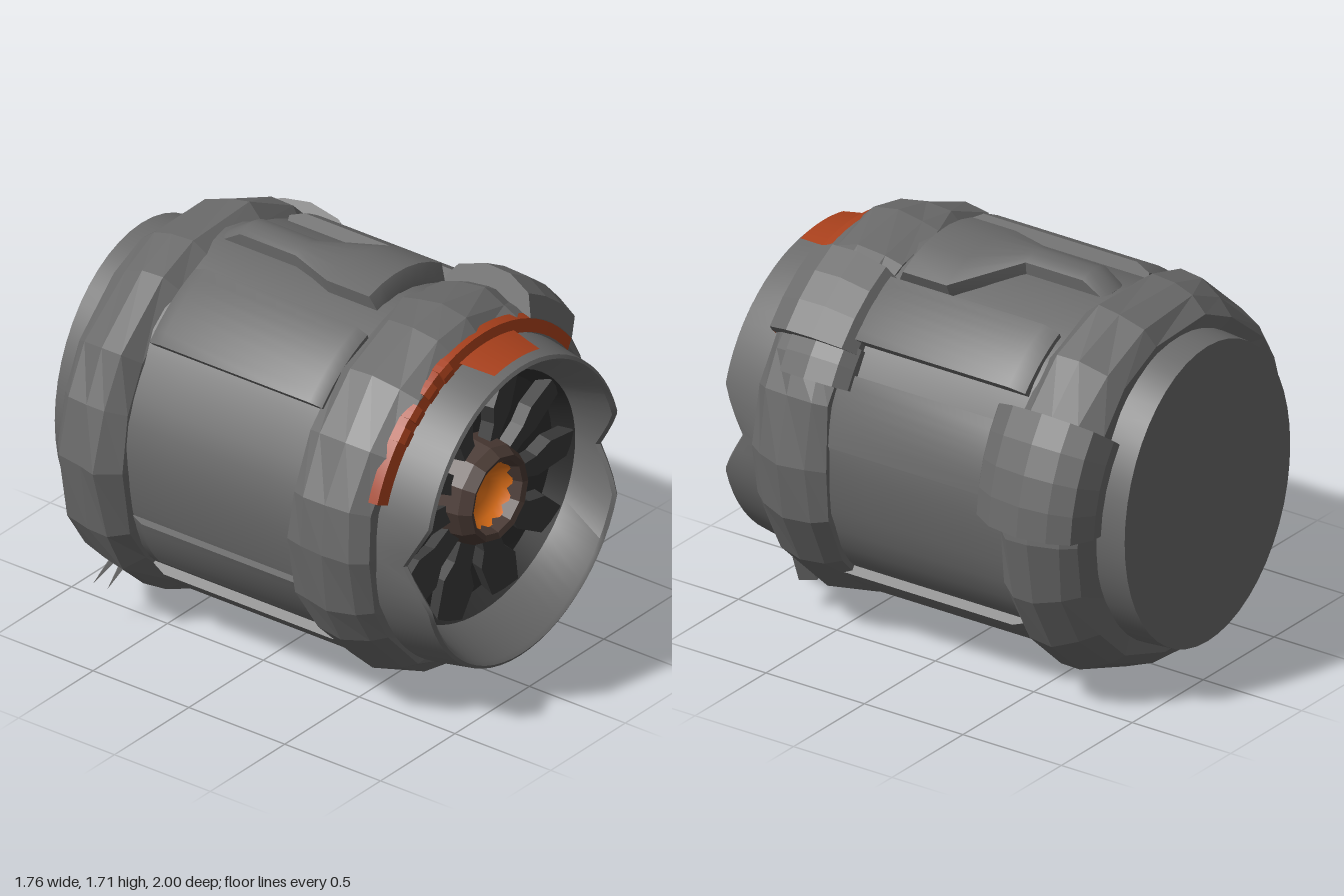
import * as THREE from 'three';
import { toCreasedNormals } from 'three/addons/utils/BufferGeometryUtils.js';

const CX = -0.03, CY = 0.87, RAD = Math.PI / 180;
const mat = (color, flat = false, side = THREE.FrontSide) =>
  new THREE.MeshStandardMaterial({ color, flatShading: flat, side });
const STEEL = 0x6a6a6a, DARK = 0x3a3a3a, GLOW = 0xa8401c, CORE = 0xe07018;

// Point at angle a (degrees) and radius r around the engine axis
const polar = (a, r, z, sx = 1, sy = 1) =>
  [CX + Math.cos(a * RAD) * r * sx, CY + Math.sin(a * RAD) * r * sy, z];

// Repeatable unevenness in -1..1
const wobble = (i, j, seed) => {
  const s = Math.sin(i * 12.99 + j * 78.23 + seed * 37.7) * 43758.5;
  return (s - Math.floor(s)) * 2 - 1;
};

// Evenly spaced angles from a to b
const span = (a, b, n) => Array.from({ length: n + 1 }, (_, i) => a + ((b - a) * i) / n);

// Skin through rows of [z, r] around the given angles; back to front faces outwards
function loft(rows, angles, place = (a, r, z) => polar(a, r, z)) {
  const pos = [], index = [], n = angles.length;
  rows.forEach(([z, r], i) => angles.forEach((a, j) => pos.push(...place(a, r, z, i, j))));
  for (let i = 0; i < rows.length - 1; i++)
    for (let j = 0; j < n - 1; j++) {
      const a = i * n + j, d = a + n;
      index.push(a, a + 1, d + 1, a, d + 1, d);
    }
  const g = new THREE.BufferGeometry();
  g.setAttribute('position', new THREE.Float32BufferAttribute(pos, 3));
  g.setIndex(index);
  return toCreasedNormals(g, 0.6);
}

// Raised plate over part of the circumference, closed down to radius `inner`
function plate(rows, from, to, n, inner, place = (a, r, z) => polar(a, r, z)) {
  const angles = [from, ...span(from, to, n), to];
  const all = [[rows[0][0], inner], ...rows, [rows[rows.length - 1][0], inner]];
  return loft(all, angles, (a, r, z, i, j) =>
    place(a, j === 0 || j === angles.length - 1 ? inner : r, z, i, j));
}

export function createModel() {
  const model = new THREE.Group();
  const add = (name, geometry, material, parent = model) => {
    const m = new THREE.Mesh(geometry, material);
    m.name = name;
    parent.add(m);
    return m;
  };
  const steel = mat(STEEL), facet = mat(STEEL, true), dark = mat(DARK, true, THREE.DoubleSide);
  const full = span(0, 360, 48);

  // Main barrel
  add('barrel', loft([[-0.6, 0.76], [-0.3, 0.76], [0.2, 0.76], [0.5, 0.76]], full,
    (a, r, z) => polar(a, r + 0.006 * Math.sin(a * RAD * 9), z, 0.98, 1.03)), steel);

  // Raised barrel panels: [from, to, radius, back z, front z]
  [[42, 64, 0.825, -0.5, 0.42], [111, 138, 0.825, -0.5, 0.4], [8, 32, 0.77, -0.45, 0.42],
    [-74, -43, 0.8, -0.5, 0.5], [-137, -106, 0.8, -0.5, 0.5], [198, 217, 0.775, -0.5, 0.42],
  ].forEach(([a, b, r, z0, z1]) => add('barrelPanel',
    plate([[z0, r - 0.03], [z0 + 0.07, r], [z1 - 0.05, r], [z1, r - 0.03]], a, b, 7, 0.72), steel));

  // Top rib, widening towards the front
  add('topRib', plate([[-0.54, 0.79], [-0.43, 0.86], [-0.14, 0.86], [0.08, 0.86], [0.3, 0.86], [0.34, 0.79]],
    0, 1, 6, 0.74, (t, r, z) => {
      const w = THREE.MathUtils.smoothstep(z, -0.14, 0.08);
      const edge = 0.02 * Math.pow(2 * t - 1, 2);
      return polar(THREE.MathUtils.lerp(84 - 18 * w, 95 + 5 * w, t), r - edge, z);
    }), steel);

  // Faceted collars
  const collar = (name, rows, sides, seed, dy) => add(name,
    loft(rows, span(0, 360, sides), (a, r, z, i, j) => {
      const k = j % sides;
      const p = polar(a + 4 * wobble(1, k, seed) * (k ? 1 : 0), r + 0.014 * wobble(i, k, seed),
        z + 0.015 * wobble(i, k, seed + 5));
      p[1] += dy;
      return p;
    }), facet);
  collar('frontCollar', [[0.4, 0.7], [0.38, 0.79], [0.46, 0.82], [0.58, 0.833], [0.7, 0.8],
    [0.77, 0.745], [0.76, 0.66]], 20, 1, 0);
  collar('rearCollar', [[-0.85, 0.55], [-0.87, 0.73], [-0.8, 0.8], [-0.69, 0.84], [-0.58, 0.84],
    [-0.5, 0.78], [-0.48, 0.7]], 18, 2, -0.015);

  // Clamps over the collars
  add('frontClamp', plate([[0.33, 0.8], [0.37, 0.86], [0.5, 0.905], [0.63, 0.9], [0.74, 0.85], [0.78, 0.76]],
    38, 65, 3, 0.68), facet);
  add('frontClampFoot', plate([[0.32, 0.79], [0.37, 0.84], [0.5, 0.86], [0.64, 0.83]], 27, 40, 2, 0.7), facet);
  add('rearClamp', plate([[-0.94, 0.72], [-0.9, 0.83], [-0.81, 0.88], [-0.68, 0.905], [-0.52, 0.88],
    [-0.41, 0.81], [-0.37, 0.75]], 3, 37, 4, 0.67), facet);

  // Closed oval tail
  add('tail', loft([[-1, 0], [-1, 0.675], [-0.8, 0.69]], full,
    (a, r, z) => { const p = polar(a, r, z, 0.865, 1); p[1] -= 0.015; return p; }), steel);

  // Intake shell: outer wall, rim and tapering inner wall, rim dipping at both sides
  const rimZ = (a) => {
    const s = Math.abs(Math.sin(a * RAD));
    return -0.11 * (1 - Math.min(1, s / 0.28)) - 0.015 * s * s;
  };
  const throat = (a, r, z) => {
    const p = polar(a, r, z, 1.07, 0.93);
    p[1] -= 0.02;
    return p;
  };
  const around = span(0, 360, 64);
  add('intakeShell', loft([[0.7, 0.71], [0.8, 0.7], [0.99, 0.67], [1, 0.655], [0.985, 0.64], [0.78, 0.58]],
    around, (a, r, z, i) => {
      if (i === 5) return throat(a, r, z);
      const p = polar(a, r, z + (i > 1 ? rimZ(a) : 0), 0.99, 1.02);
      p[1] -= 0.02;
      return p;
    }), steel);

  // Dark bowl behind the fan
  add('fanBowl', loft([[0.78, 0.58], [0.7, 0.53], [0.68, 0]], around, throat), mat(0x303030));

  // Glowing vent along the top of the intake
  const ember = mat(GLOW, false, THREE.DoubleSide);
  add('glowBand', loft([[0.74, 0.765], [0.78, 0.755], [0.795, 0.7]], span(38, 160, 26)), ember);
  add('glowPatch', loft([[0.78, 0.716], [0.87, 0.7], [0.95, 0.688]], span(74, 104, 8),
    (a, r, z) => polar(89 + (a - 89) * (1.7 - z * 0.9), r, z)), ember);
  [108, 117, 126, 134].forEach((a) =>
    add('glowTooth', plate([[0.74, 0.765], [0.785, 0.76], [0.8, 0.73]], a, a + 5, 2, 0.7), mat(GLOW, true)));

  // Fan of ten broad blades, flattened to fit the oval throat
  const fan = new THREE.Group();
  fan.name = 'fan';
  fan.position.set(CX, CY - 0.02, 0.71);
  fan.scale.set(1.07, 0.93, 1);
  model.add(fan);
  const blade = new THREE.Shape([[0.17, -0.04], [0.3, -0.05], [0.38, -0.085], [0.57, -0.075], [0.57, 0.06],
    [0.42, 0.085], [0.34, 0.045], [0.17, 0.04]].map(([x, y]) => new THREE.Vector2(x, y)));
  const bladeGeo = new THREE.ExtrudeGeometry(blade, { depth: 0.06, bevelEnabled: false });
  for (let k = 0; k < 10; k++) {
    const arm = new THREE.Group();
    arm.name = 'bladeArm';
    arm.rotation.z = k * 36 * RAD;
    fan.add(arm);
    add('blade', bladeGeo, dark, arm).rotation.x = 0.2;
  }

  // Hub ring with a glowing cup
  const hub = new THREE.Group();
  hub.name = 'hub';
  hub.position.set(CX, CY + 0.005, 0);
  hub.rotation.x = Math.PI / 2;
  model.add(hub);
  const lathe = (pts, n) => new THREE.LatheGeometry(pts.map(([r, y]) => new THREE.Vector2(r, y)), n);
  add('hubRing', lathe([[0.24, 0.68], [0.22, 0.82], [0.19, 0.87], [0.165, 0.86], [0.145, 0.8]], 12),
    mat(0x4a3a34, true, THREE.DoubleSide), hub);
  add('hubCore', lathe([[0.001, 0.74], [0.08, 0.75], [0.13, 0.78], [0.15, 0.82]], 24),
    mat(CORE, false, THREE.DoubleSide), hub);

  // Small splinters and a loose tab on the collars
  [[0.13, -0.09, -0.66], [0.15, -0.06, -0.72]].forEach(([len, dy, z]) => {
    const s = add('splinter', new THREE.ConeGeometry(0.025, len + 0.06, 4), facet);
    const dir = new THREE.Vector3(-len, dy, 0).normalize();
    s.quaternion.setFromUnitVectors(new THREE.Vector3(0, 1, 0), dir);
    s.position.set(-0.62, 0.265, z);
  });
  const tab = add('tab', new THREE.CylinderGeometry(0.04, 0.07, 0.15, 5), mat(0x7a7a7a, true));
  tab.position.set(0.42, 0.25, 0.72);
  tab.rotation.z = -0.6;

  return model;
}
